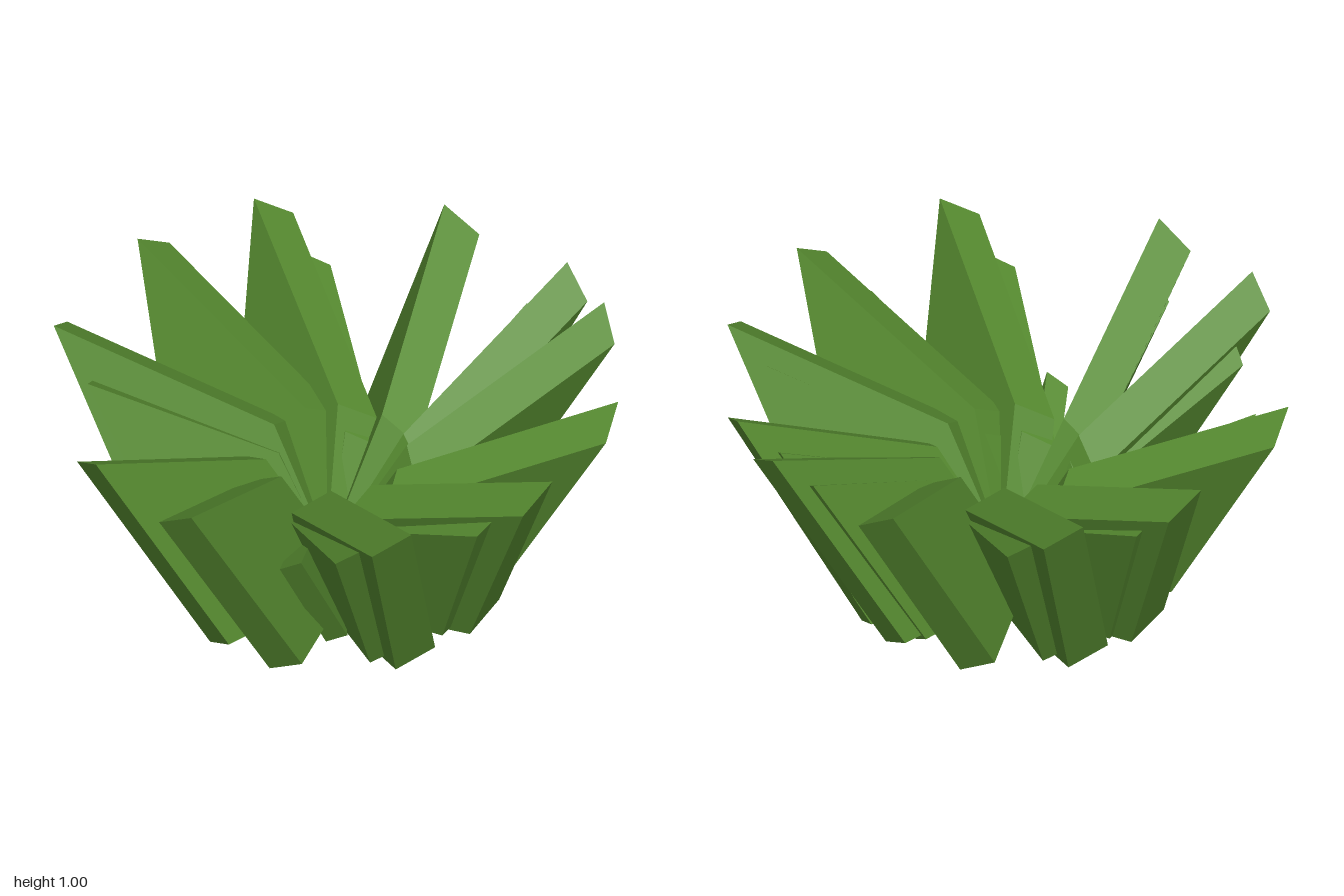
import * as THREE from 'three';

// Tapered slab blade: outer end at radius 1, inner end at the middle of the rosette.
function bladeGeometry() {
  const outerBase = new THREE.Vector3(0.58, 0.165, -0.2);
  const innerBase = new THREE.Vector3(-0.05, 0.08, -0.057);
  const rise = new THREE.Vector3(0.42, 0.835, 0.2);
  const thickness = new THREE.Vector3(-0.015, -0.08, 0.137);
  const innerHeight = 0.68;

  const geometry = new THREE.BoxGeometry(1, 1, 1);
  const position = geometry.attributes.position;
  const p = new THREE.Vector3();
  for (let i = 0; i < position.count; i++) {
    const outer = position.getX(i) > 0;
    p.copy(outer ? outerBase : innerBase);
    if (position.getY(i) > 0) p.addScaledVector(rise, outer ? 1 : innerHeight);
    if (position.getZ(i) > 0) p.add(thickness);
    position.setXYZ(i, p.x, p.y, p.z);
  }
  geometry.computeVertexNormals();
  return geometry;
}

export function createModel() {
  const model = new THREE.Group();
  model.name = 'leafRosette';
  const green = new THREE.MeshStandardMaterial({ color: 0x568a30 });
  green.name = 'leaf green';
  const geometry = bladeGeometry();

  // Rings of blades: size and the angle of each tip, in degrees from +x towards +z.
  const rings = [
    { name: 'largeLeaf', size: 1,
      angles: [1.7, 31.3, 64.7, 109.8, 135.8, 183.4, 216.9, 243.7, 282.2, 313.4, 328.5] },
    { name: 'middleLeaf', size: 0.86,
      angles: [0.5, 37, 72, 111, 141.7, 175.6, 219.6, 251, 283, 310.5, 325.5] },
    { name: 'smallLeaf', size: 0.565,
      angles: [18.5, 60, 92, 132, 174, 206, 246, 284, 316, 349] },
  ];
  for (const { name, size, angles } of rings) {
    const ring = new THREE.Group();
    ring.name = name + 'Ring';
    for (const angle of angles) {
      const leaf = new THREE.Mesh(geometry, green);
      leaf.name = name;
      leaf.scale.setScalar(size);
      leaf.rotation.y = -THREE.MathUtils.degToRad(angle);
      ring.add(leaf);
    }
    model.add(ring);
  }
  return model;
}
